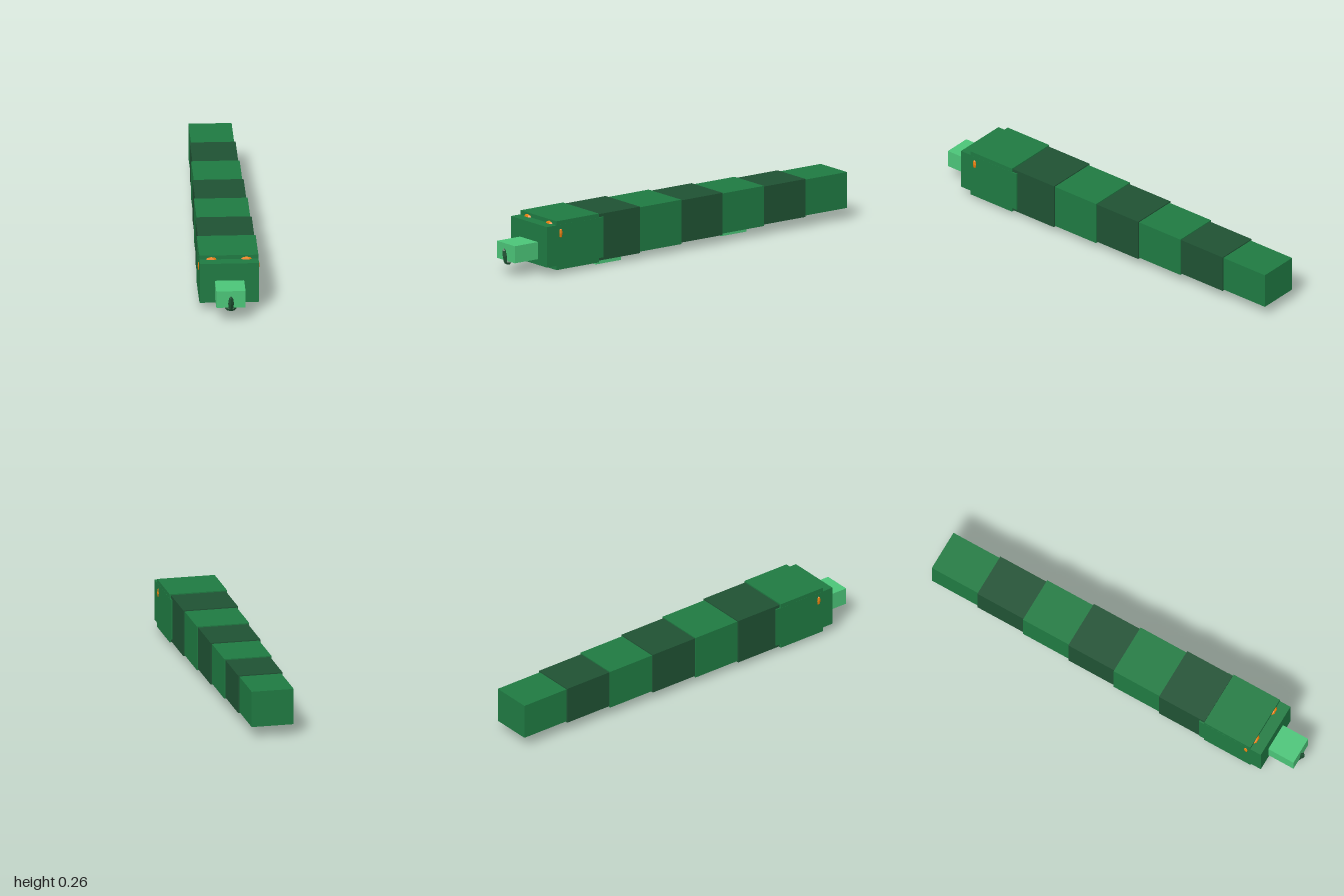
import * as THREE from 'three';

const GREEN = 0x1f7a42, DARK = 0x1f5233, LIGHT = 0x4bc478, ORANGE = 0xe8800f;

export function createModel() {
  const model = new THREE.Group();
  model.name = 'blockSnake';
  const mats = {};
  const mat = (color) => (mats[color] ??= new THREE.MeshStandardMaterial({ color, flatShading: true }));

  const add = (name, geometry, color, x, y, z) => {
    const mesh = new THREE.Mesh(geometry, mat(color));
    mesh.name = name;
    mesh.position.set(x, y, z);
    model.add(mesh);
    return mesh;
  };
  // Box given by its half width and its y and z limits
  const block = (name, color, halfW, y0, y1, z0, z1) =>
    add(name, new THREE.BoxGeometry(halfW * 2, y1 - y0, z1 - z0), color, 0, (y0 + y1) / 2, (z0 + z1) / 2);
  // Low-poly ellipsoid
  const gem = (name, color, [x, y, z], [rx, ry, rz], sides = 6) =>
    add(name, new THREE.SphereGeometry(1, sides, 4).scale(rx, ry, rz), color, x, y, z);

  // Head: tall block around a longer, lower face block
  block('head', GREEN, 0.141, 0.022, 0.262, 0.525, 0.78);
  block('face', GREEN, 0.1415, 0.043, 0.242, 0.497, 0.838);
  block('snout', LIGHT, 0.07, 0.071, 0.155, 0.78, 0.977);

  // Body segments tapering toward the tail, in alternating greens
  const ends = [0.523, 0.272, 0.018, -0.236, -0.49, -0.745, -1];
  for (let i = 0; i < 6; i++) {
    const halfH = 0.1142 - i * 0.0052;
    block(`bodySegment${i + 1}`, i % 2 ? GREEN : DARK, 0.1347 - i * 0.0063,
      0.143 - halfH, 0.143 + halfH, ends[i + 1], ends[i]);
  }

  // Belly plates
  block('frontBellyPlate', LIGHT, 0.094, 0, 0.06, 0.355, 0.507);
  block('rearBellyPlate', LIGHT, 0.081, 0.022, 0.07, -0.41, -0.26);

  // Brow and side eyes
  for (const s of [-1, 1]) {
    gem('browEye', ORANGE, [s * 0.084, 0.239, 0.78], [0.028, 0.015, 0.012]);
    gem('sideEye', ORANGE, [s * 0.139, 0.2, 0.755], [0.009, 0.025, 0.011]);
  }

  // Tongue hanging over the snout tip, with its root underneath
  const tongue = gem('tongue', DARK, [0, 0.094, 0.983], [0.014, 0.042, 0.013], 4);
  tongue.rotation.x = 0.18;
  gem('tongueRoot', DARK, [0, 0.066, 0.968], [0.028, 0.016, 0.014]);

  return model;
}
